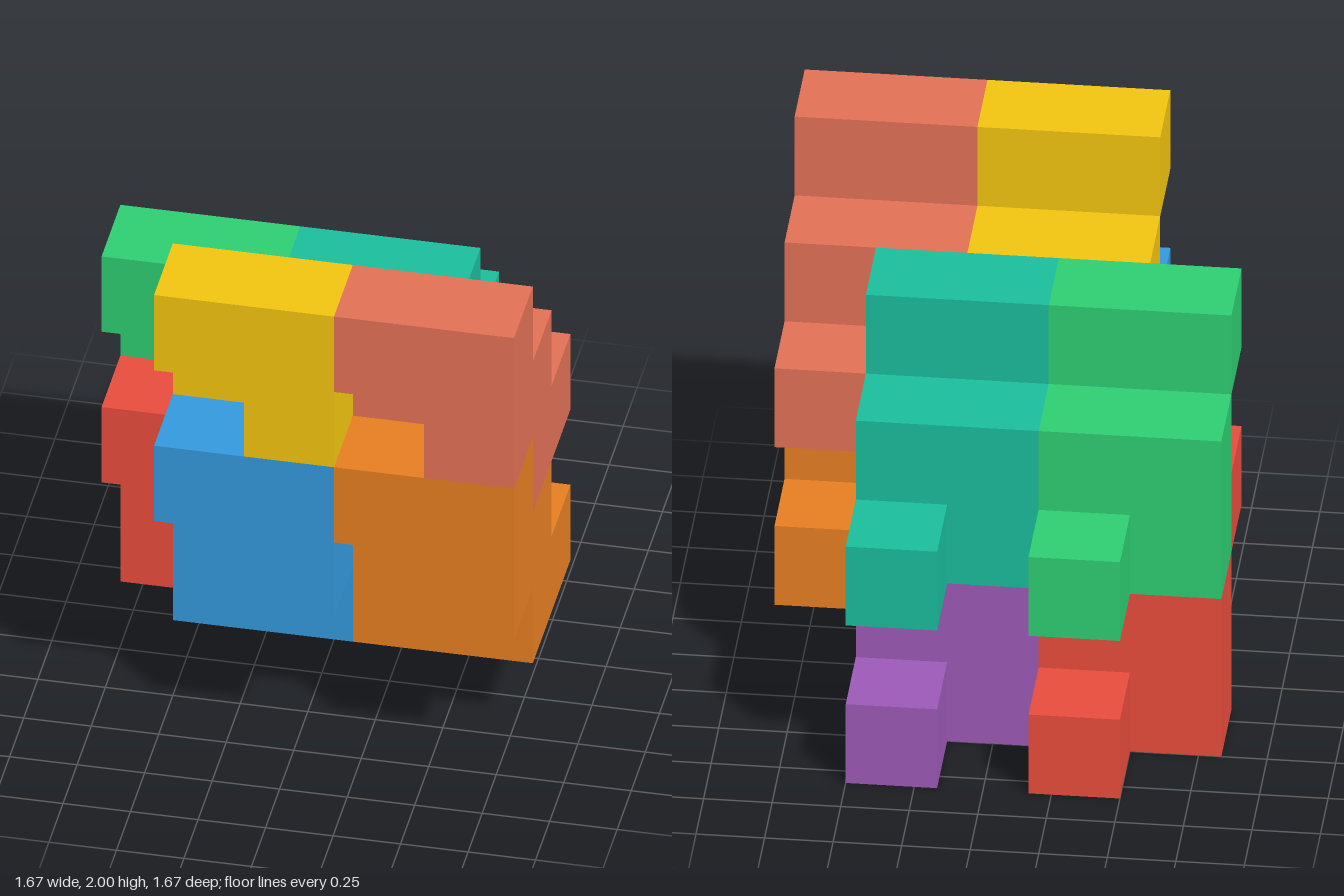
import * as THREE from 'three';
import { mergeGeometries } from 'three/addons/utils/BufferGeometryUtils.js';

const U = 1 / 3; // edge of one cube cell

// One eight-cell piece as [x, y, z] cells
const CELLS = [
  [0, 2, 2], [1, 2, 2], [1, 1, 2],            // front layer: bar and one foot
  [0, 0, 1], [1, 0, 1], [0, 1, 1], [1, 1, 1], // middle layer: full square
  [1, 0, 0],                                  // back layer: single knob
];

// Outward directions with the rotation that turns a +z plane towards them
const SIDES = [
  [[0, 0, 1], 0, 0], [[0, 0, -1], 0, Math.PI],
  [[1, 0, 0], 0, Math.PI / 2], [[-1, 0, 0], 0, -Math.PI / 2],
  [[0, 1, 0], -Math.PI / 2, 0], [[0, -1, 0], Math.PI / 2, 0],
];

// Closed skin of the piece: only faces without a neighbouring cell
function pieceGeometry() {
  const filled = new Set(CELLS.map(String));
  const faces = [];
  for (const [x, y, z] of CELLS) {
    for (const [[dx, dy, dz], rx, ry] of SIDES) {
      if (filled.has(String([x + dx, y + dy, z + dz]))) continue;
      faces.push(new THREE.PlaneGeometry(U, U).rotateX(rx).rotateY(ry).translate(
        (x + dx / 2) * U, (y + 0.5 + dy / 2) * U, (z + dz / 2) * U));
    }
  }
  return mergeGeometries(faces);
}

// Name, colour and cell offset of the interlocking copies
const PIECES = [
  ['lowerBackRightPiece', 0xe74c3c, [0, 0, 0]],
  ['lowerBackLeftPiece', 0x9b59b6, [2, 0, 0]],
  ['upperBackRightPiece', 0x2ecc71, [0, 2, 0]],
  ['upperBackLeftPiece', 0x1abc9c, [2, 2, 0]],
  ['lowerFrontRightPiece', 0x3498db, [1, 1, 2]],
  ['lowerFrontLeftPiece', 0xe67e22, [3, 1, 2]],
  ['upperFrontRightPiece', 0xf1c40f, [1, 3, 2]],
  ['upperFrontLeftPiece', 0xe17055, [3, 3, 2]],
];

export function createModel() {
  const model = new THREE.Group();
  model.name = 'interlockingBlocks';
  const geometry = pieceGeometry();
  for (const [name, color, [x, y, z]] of PIECES) {
    const piece = new THREE.Mesh(geometry, new THREE.MeshStandardMaterial({ color }));
    piece.name = name;
    piece.position.set((x - 2) * U, y * U, (z - 2) * U);
    model.add(piece);
  }
  return model;
}
